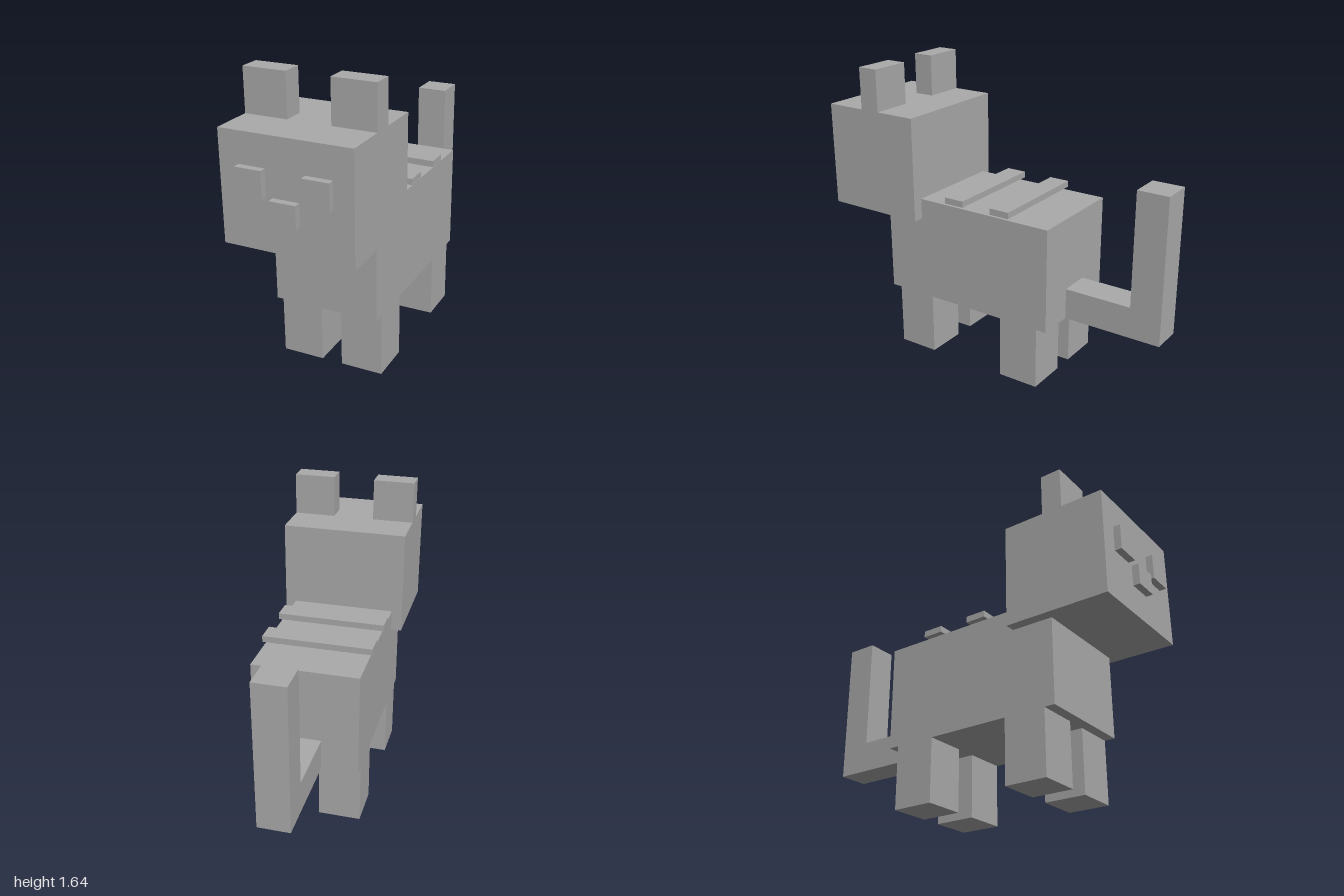
import * as THREE from 'three';

export function createModel() {
  const model = new THREE.Group();
  model.name = 'blockCat';
  const grey = new THREE.MeshStandardMaterial({ color: 0xaaaaaa });
  grey.name = 'plain grey';

  // Box given by its minimum and maximum on each axis
  function block(name, [x0, x1], [y0, y1], [z0, z1]) {
    const mesh = new THREE.Mesh(new THREE.BoxGeometry(x1 - x0, y1 - y0, z1 - z0), grey);
    mesh.position.set((x0 + x1) / 2, (y0 + y1) / 2, (z0 + z1) / 2);
    mesh.name = name;
    model.add(mesh);
  }

  // The same box on the left (+x) and the right (-x)
  function pair(name, [x0, x1], y, z) {
    block('left' + name, [x0, x1], y, z);
    block('right' + name, [-x1, -x0], y, z);
  }

  // Body and head
  block('body', [-0.292, 0.292], [0.351, 0.936], [-0.442, 0.611]);
  block('head', [-0.351, 0.351], [0.819, 1.404], [0.377, 0.962]);

  // Ears and face
  pair('Ear', [0.117, 0.351], [1.404, 1.638], [0.611, 0.728]);
  pair('Eye', [0.105, 0.246], [1.1, 1.24], [0.962, 1]);
  block('nose', [-0.07, 0.07], [0.983, 1.1], [0.962, 1]);

  // Legs
  pair('FrontLeg', [0.058, 0.292], [0, 0.351], [0.319, 0.553]);
  pair('BackLeg', [0.058, 0.292], [0, 0.351], [-0.383, -0.149]);

  // Raised stripes hovering just above the back
  block('frontStripe', [-0.304, 0.304], [0.95, 0.985], [0.083, 0.2]);
  block('backStripe', [-0.304, 0.304], [0.95, 0.985], [-0.21, -0.093]);

  // Tail: low stretch, then upright end
  block('tailBase', [-0.088, 0.088], [0.351, 0.526], [-0.825, -0.442]);
  block('tailTip', [-0.088, 0.088], [0.351, 1.17], [-1, -0.825]);

  return model;
}
